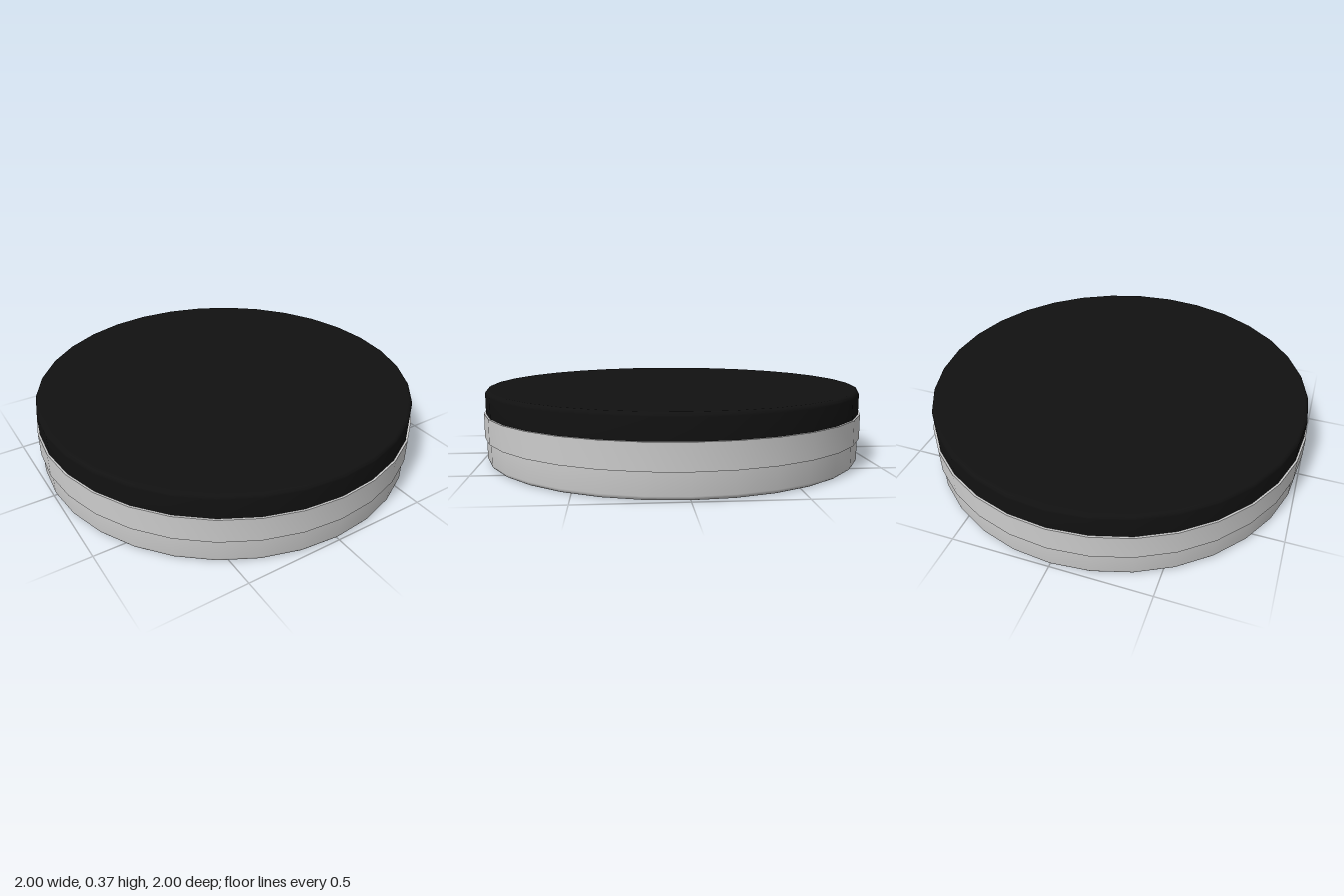
import * as THREE from 'three';
import { toCreasedNormals } from 'three/addons/utils/BufferGeometryUtils.js';

const SIDES = 32;
const RADIUS = 0.99;
const FILLET = 0.02;

// Turned part from a bottom-to-top profile of [radius, height] pairs
function turned(name, profile, color) {
  const points = profile.map(([r, y]) => new THREE.Vector2(r, y));
  const geometry = toCreasedNormals(new THREE.LatheGeometry(points, SIDES), 0.6);
  const mesh = new THREE.Mesh(geometry, new THREE.MeshStandardMaterial({ color }));
  mesh.name = name;
  return mesh;
}

// Rounded rim between a flat cap at height y and the side wall; dir is +1 for a top, -1 for a bottom
function rim(y, dir, steps = 4) {
  const arc = [];
  for (let i = 0; i <= steps; i++) {
    const a = (i / steps) * Math.PI / 2;
    arc.push([RADIUS - FILLET * (1 - Math.cos(a)), y - dir * FILLET * (1 - Math.sin(a))]);
  }
  // a thin flat margin keeps the cap evenly shaded
  arc.push([RADIUS - FILLET - 0.01, y], [0, y]);
  return dir > 0 ? arc : arc.reverse();
}

export function createModel() {
  const puck = new THREE.Group();
  puck.name = 'puck';

  // Lower shell with rounded bottom edge
  puck.add(turned('base', [...rim(0.005, -1), [RADIUS, 0.13]], 0xcccccc));

  // Slightly wider band round the middle
  puck.add(turned('band', [[RADIUS - 0.02, 0.13], [1, 0.13], [1, 0.255], [RADIUS - 0.02, 0.255]], 0xcccccc));

  // Dark cover with rounded top edge
  puck.add(turned('cover', [[RADIUS, 0.25], ...rim(0.375, 1)], 0x111111));

  puck.position.y = -0.005;
  const model = new THREE.Group();
  model.name = 'roundDevice';
  model.add(puck);
  return model;
}
